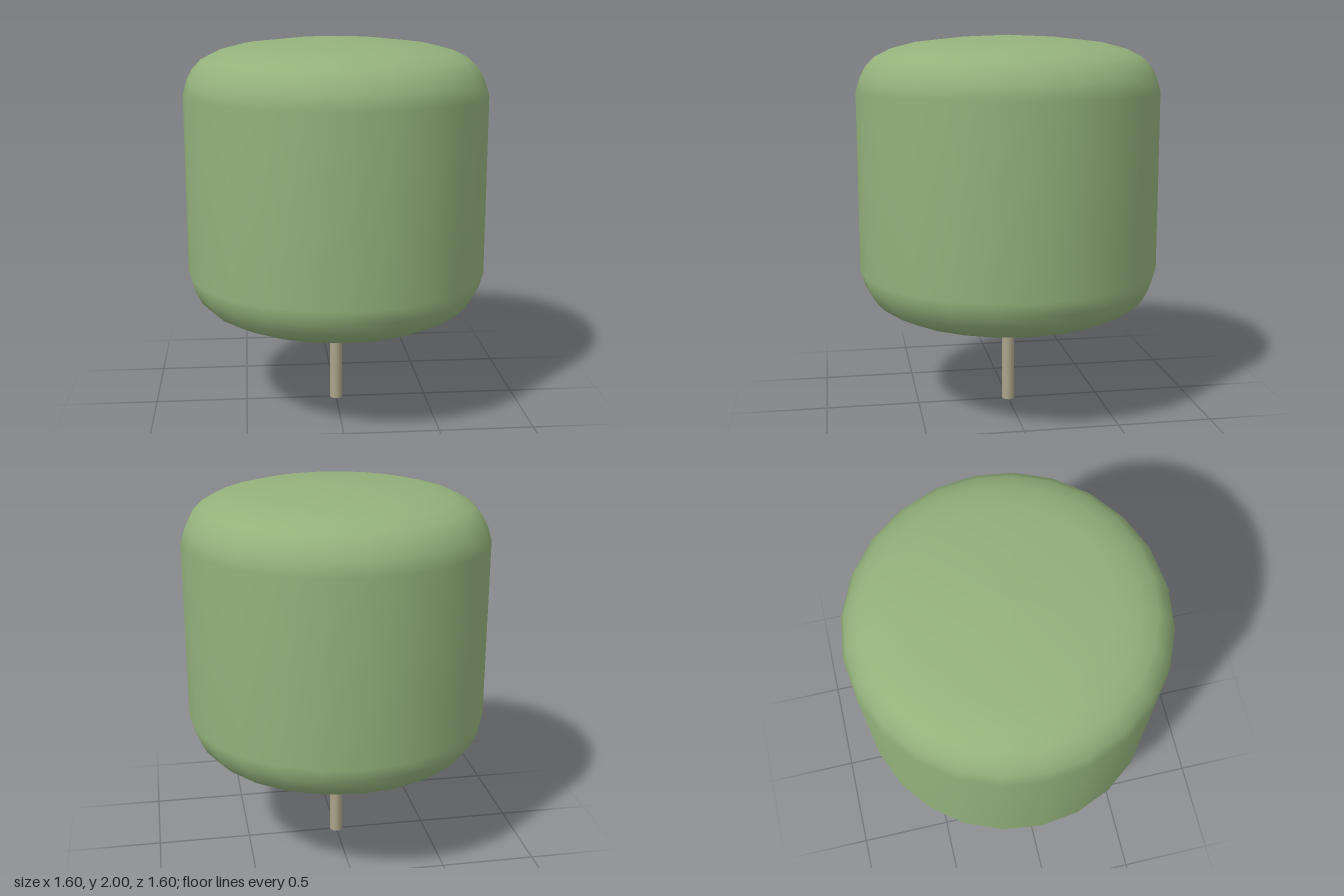
import * as THREE from 'three';

export function createModel() {
  const group = new THREE.Group();
  const middle = 1.235;

  // Crown: upper half of the profile as [radius, height], mirrored below the middle
  const upper = [[0.8, 1.71], [0.777, 1.785], [0.745, 1.845], [0.7, 1.89],
    [0.62, 1.93], [0.49, 1.963], [0.24, 1.99], [0, 2]];
  const lower = upper.map(([r, y]) => [r, 2 * middle - y]).reverse();
  const profile = [...lower, ...upper].map(([r, y]) => new THREE.Vector2(r, y));
  const crown = new THREE.Mesh(
    new THREE.LatheGeometry(profile, 24),
    new THREE.MeshStandardMaterial({ color: 0x94b17b })
  );
  crown.name = 'crown';
  group.add(crown);

  // Thin trunk, reaching slightly into the crown
  const trunkHeight = 0.5;
  const trunk = new THREE.Mesh(
    new THREE.CylinderGeometry(0.034, 0.034, trunkHeight, 12),
    new THREE.MeshStandardMaterial({ color: 0xaca489 })
  );
  trunk.name = 'trunk';
  trunk.position.y = trunkHeight / 2;
  group.add(trunk);

  return group;
}
